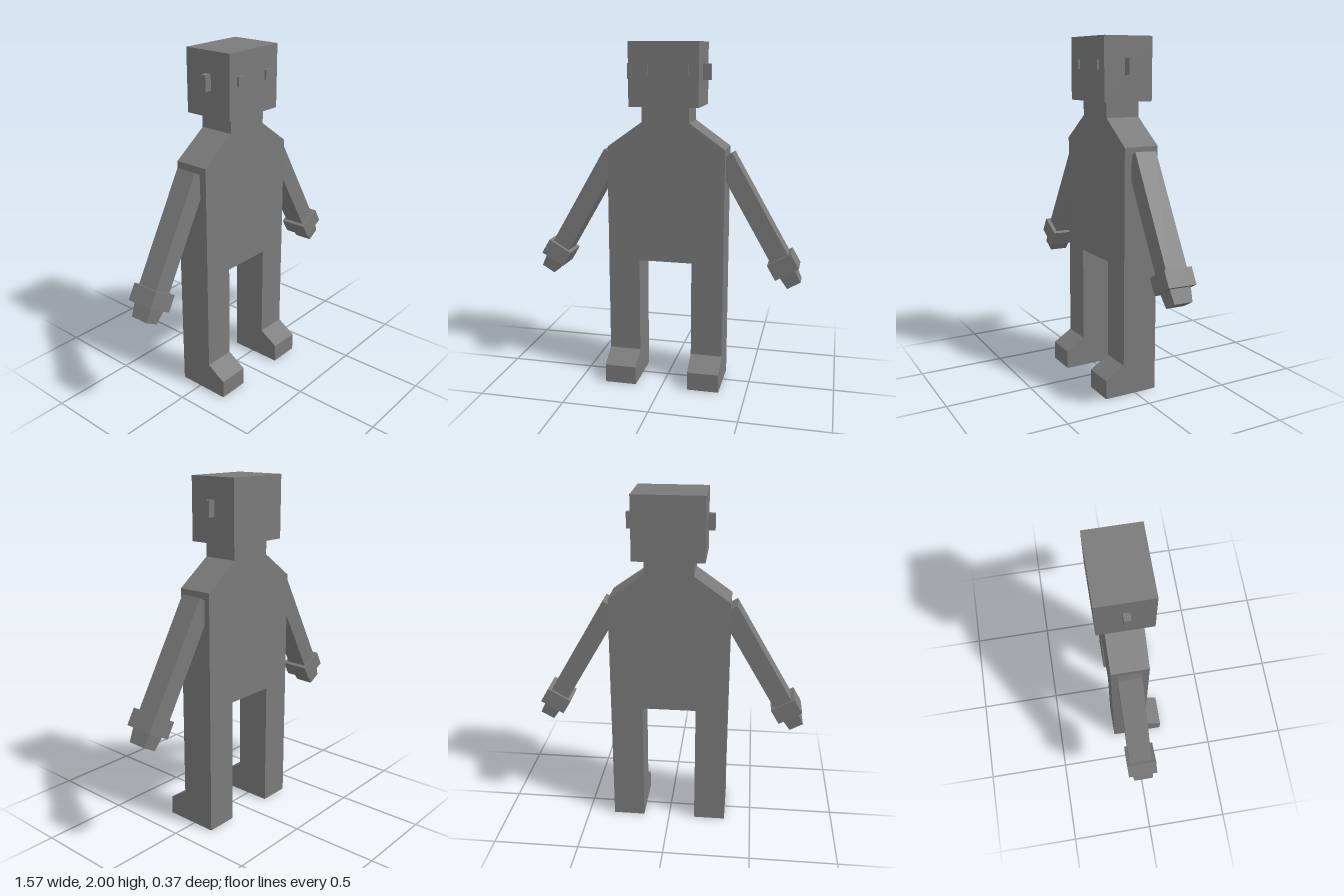
import * as THREE from 'three';

const material = new THREE.MeshStandardMaterial({ color: 0x7a7a7a, flatShading: true });

function add(parent, name, geometry, x = 0, y = 0, z = 0) {
  const mesh = new THREE.Mesh(geometry, material);
  mesh.name = name;
  mesh.position.set(x, y, z);
  parent.add(mesh);
  return mesh;
}

// Box whose bottom end is scaled by taperX, taperZ
function taperedBox(w, h, d, taperX, taperZ) {
  const geometry = new THREE.BoxGeometry(w, h, d);
  const p = geometry.attributes.position;
  for (let i = 0; i < p.count; i++) {
    if (p.getY(i) < 0) {
      p.setX(i, p.getX(i) * taperX);
      p.setZ(i, p.getZ(i) * taperZ);
    }
  }
  geometry.computeVertexNormals();
  return geometry;
}

function extrude(points, depth) {
  const shape = new THREE.Shape(points.map(([x, y]) => new THREE.Vector2(x, y)));
  return new THREE.ExtrudeGeometry(shape, { depth, bevelEnabled: false });
}

export function createModel() {
  const model = new THREE.Group();
  model.name = 'blockFigure';

  // Legs, torso, sloping shoulders and neck as one slab
  const half = [[0.156, 0.742], [0.156, 0], [0.342, 0], [0.342, 1.41], [0.137, 1.556], [0.137, 1.65]];
  const mirrored = half.map(([x, y]) => [-x, y]).reverse();
  add(model, 'body', extrude([...half, ...mirrored], 0.207), 0, 0, -0.134);

  // Head
  add(model, 'head', new THREE.BoxGeometry(0.398, 0.356, 0.302), -0.001, 1.822, -0.032);

  for (const side of [1, -1]) {
    const label = side > 0 ? 'left' : 'right';

    // Face details
    add(model, label + 'Eye', new THREE.BoxGeometry(0.053, 0.053, 0.03), side * 0.114, 1.846, 0.117);
    add(model, label + 'Ear', new THREE.BoxGeometry(0.06, 0.09, 0.035), side * 0.212, 1.834, -0.028);

    // Toe with a sloping top, in front of the leg
    const toe = extrude([[-0.185, 0], [-0.185, 0.108], [-0.073, 0.178], [-0.073, 0]], 0.186);
    toe.rotateY(Math.PI / 2);
    add(model, label + 'Foot', toe, side > 0 ? 0.156 : -0.342);

    // Arm hanging outward from the shoulder
    const arm = new THREE.Group();
    arm.name = label + 'Arm';
    arm.position.set(side * 0.329, 1.36, -0.036);
    arm.rotation.set(-0.018, 0, side * Math.PI / 6);
    add(arm, label + 'Sleeve', new THREE.BoxGeometry(0.11, 0.68, 0.13), 0, -0.34, 0);
    add(arm, label + 'Cuff', new THREE.BoxGeometry(0.152, 0.098, 0.168), 0, -0.706, 0.004);
    add(arm, label + 'Hand', taperedBox(0.105, 0.12, 0.138, 0.82, 0.8), 0, -0.775, 0.004);
    model.add(arm);
  }

  return model;
}
